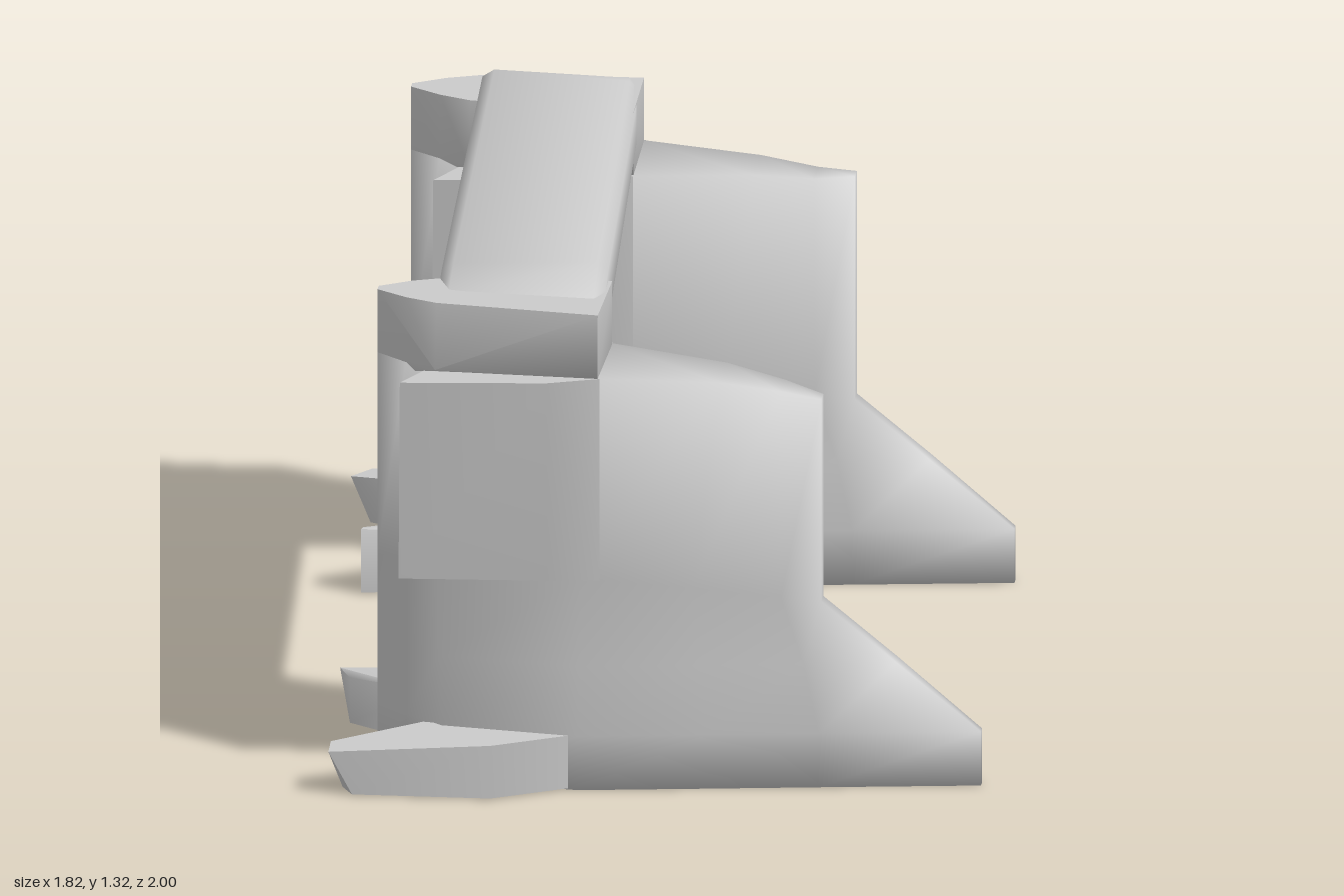
import * as THREE from 'three';
import { toCreasedNormals } from 'three/addons/utils/BufferGeometryUtils.js';
import { ConvexGeometry } from 'three/addons/geometries/ConvexGeometry.js';

const material = new THREE.MeshStandardMaterial({ color: 0xcccccc });

function part(name, geometry, crease) {
  const mesh = new THREE.Mesh(toCreasedNormals(geometry, crease), material);
  mesh.name = name;
  return mesh;
}

// Convex solid through a list of [x, y, z] corners
const hull = (points) => new ConvexGeometry(points.map((p) => new THREE.Vector3(...p)));

// Fin body: each level lists [x, half width, y] from nose to spine
function finBody(levels) {
  const n = levels[0].length * 2;
  const points = [];
  for (const level of levels) {
    for (const [x, w, y] of level) points.push(x, y, w);
    for (const [x, w, y] of [...level].reverse()) points.push(x, y, -w);
  }
  const index = [];
  for (let l = 0; l < levels.length - 1; l++) {
    for (let i = 0; i < n; i++) {
      const a = l * n + i, b = l * n + (i + 1) % n;
      index.push(a, a + n, b, b, a + n, b + n);
    }
  }
  // Closed bottom and top, strip by strip
  const t = (levels.length - 1) * n;
  for (let k = 0; k < n / 2 - 1; k++) {
    const a = k, b = k + 1, c = n - 2 - k, d = n - 1 - k;
    index.push(a, b, c, a, c, d);
    index.push(t + a, t + c, t + b, t + a, t + d, t + c);
  }
  const g = new THREE.BufferGeometry();
  g.setAttribute('position', new THREE.Float32BufferAttribute(points, 3));
  g.setIndex(index);
  return g.toNonIndexed();
}

const foot = (y) => [
  [0.905, 0.012, y], [0.5, 0.077, y], [0.22, 0.123, y],
  [-0.1, 0.175, y], [-0.45, 0.14, y], [-0.55, 0.07, y], [-0.63, 0.012, y],
];
// Levels from ground to rim; the rim drops from 1.1 to noseTop
const bodyLevels = (noseTop) => [
  foot(0.005),
  foot(0.15),
  [[0.69, 0.02, 0.33], [0.46, 0.062, 0.33], [0.2, 0.107, 0.33],
    [-0.1, 0.155, 0.33], [-0.46, 0.118, 0.33], [-0.55, 0.068, 0.33], [-0.63, 0.012, 0.33]],
  [[0.5, 0.02, 0.485], [0.4, 0.043, 0.5], [0.18, 0.087, 0.53],
    [-0.1, 0.13, 0.56], [-0.47, 0.1, 0.56], [-0.55, 0.065, 0.56], [-0.63, 0.012, 0.56]],
  [[0.5, 0.02, noseTop], [0.4, 0.043, 0.55 + noseTop / 2 - 0.01], [0.25, 0.072, 0.825 + noseTop / 4],
    [-0.06, 0.13, 1.1], [-0.47, 0.1, 1.1], [-0.55, 0.065, 1.1], [-0.63, 0.012, 1.1]],
];

// Side pad: wedge that leaves the body and flares towards its rear edge
// Outline rows: [x, half width at the bottom, half width at the top, top height]
function sidePad(side) {
  const outline = [[-0.05, 0.13, 0.13, 1.1], [-0.18, 0.148, 0.178, 1.1],
    [-0.555, 0.18, 0.155, 1.075], [-0.49, 0.08, 0.08, 1.09]];
  return hull(outline.flatMap(([x, low, high, top]) => [[x, 0.556, side * low], [x, top, side * high]]));
}

// Toe: ground outline [x, z, top height, lean] raised into a wedge
const toe = (outline) => hull(outline.flatMap(([x, z, h, lean = 0]) => [[x + lean, 0.008, z], [x, h, z]]));

function pylon(name, x, z, side, noseTop, toes) {
  const group = new THREE.Group();
  group.name = name;
  group.position.set(x, 0, z);
  group.add(part('finBody', finBody(bodyLevels(noseTop)), 2));
  for (const s of [1, -1]) group.add(part('sidePad', sidePad(s), 1));
  // Head block joining fin and crossbeam: [x, z at the bottom, z at the top]
  const head = [[-0.63, 0.012, 0.012], [-0.55, 0.065, 0.06], [-0.47, 0.12, 0.09], [-0.055, 0.13, 0.127],
    [-0.05, -0.12, -0.12], [-0.47, -0.11, -0.09], [-0.55, -0.065, -0.06], [-0.63, -0.012, -0.012]];
  group.add(part('headBlock', hull([
    ...head.flatMap(([px, low, high]) => [[px, 1.1, low * side], [px, 1.27, high * side]]),
    [-0.1, 1.04, 0], [-0.62, 1.04, 0],
  ]), 1.2));
  toes.forEach((t, i) => group.add(part(i ? 'innerToe' : 'outerToe', toe(t), 1)));
  return group;
}

export function createModel() {
  const model = new THREE.Group();
  model.name = 'finnedArch';

  model.add(pylon('frontPylon', 0, 0.71, 1, 1.03, [
    [[-0.72, 0.285, 0.12, 0.06], [-0.72, 0.235, 0.13, 0.03], [-0.31, 0.27, 0.15], [-0.12, 0.17, 0.15], [-0.5, 0.12, 0.15]],
    [[-0.76, -0.26, 0.14, 0.03], [-0.73, -0.22, 0.13], [-0.48, -0.27, 0.15], [-0.2, -0.165, 0.15], [-0.52, -0.1, 0.15]],
  ]));
  model.add(pylon('rearPylon', -0.1, -0.73, -1, 1.085, [
    [[-0.81, -0.2, 0.13, 0.05], [-0.76, -0.235, 0.14, 0.02], [-0.35, -0.27, 0.15], [-0.14, -0.17, 0.15], [-0.55, -0.12, 0.15]],
    [[-0.72, 0.3, 0.18], [-0.72, 0.26, 0.17], [-0.46, 0.24, 0.16], [-0.2, 0.165, 0.15], [-0.5, 0.1, 0.15]],
  ]));

  // Crossbeam sections [x shift, z, top at -x, top at +x] with eased corners
  const sections = [[0, 0.72, 1.265, 1.27], [-0.005, 0.59, 1.3, 1.32],
    [-0.095, -0.62, 1.275, 1.285], [-0.105, -0.8, 1.295, 1.28], [-0.11, -0.85, 1.265, 1.27]];
  model.add(part('crossbeam', hull(sections.flatMap(([s, z, back, front]) => {
    const left = -0.48 + s * 0.75, right = -0.055 + s;
    return [
      [left, 1.13, z], [left, back - 0.02, z], [left + 0.03, back, z],
      [right - 0.025, front, z], [right, front - 0.02, z], [right, 1.16, z],
      [right - 0.045, 1.1, z], [left + 0.03, 1.1, z],
    ];
  })), 1.2));
  return model;
}
